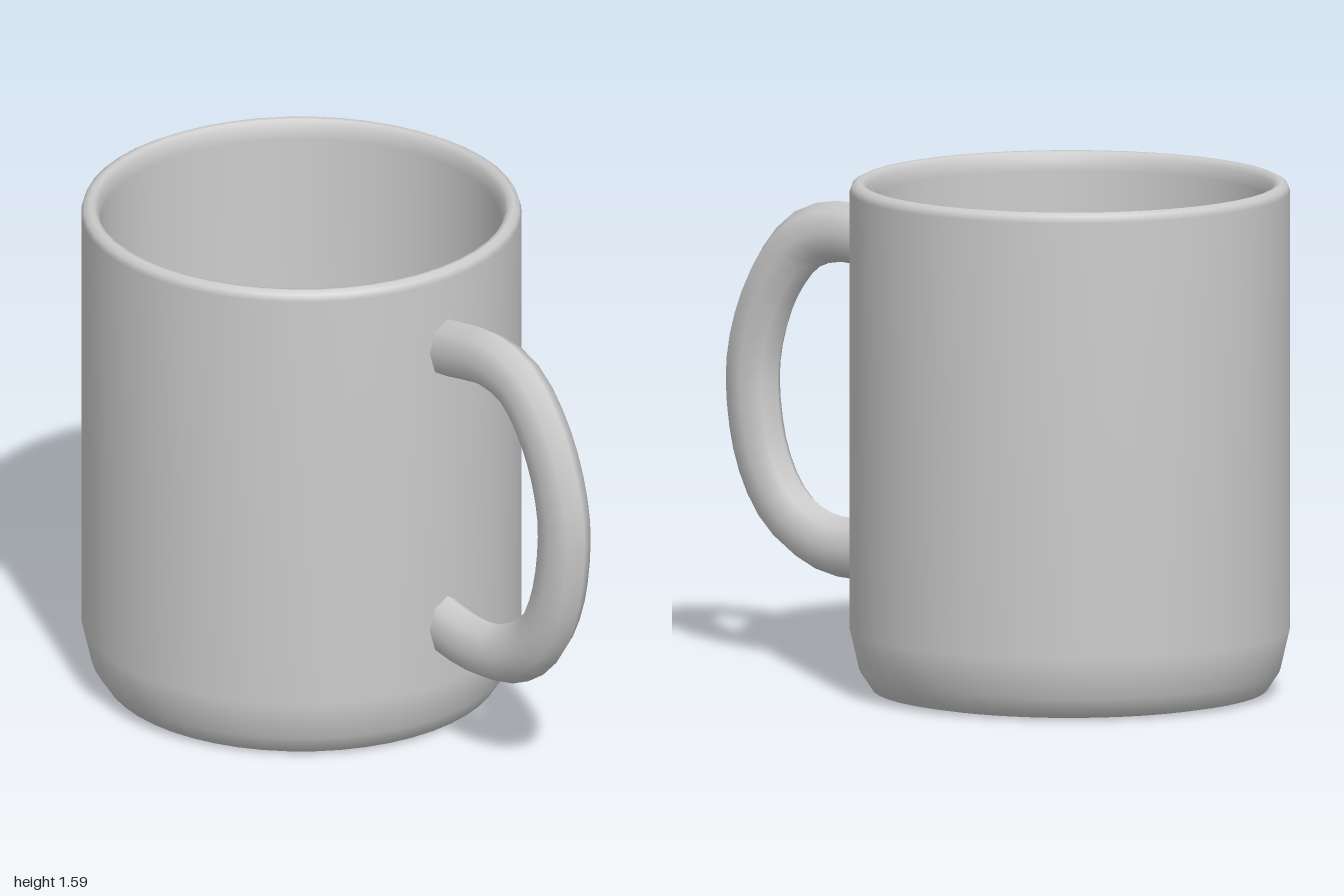
import * as THREE from 'three';

const v2 = (pts) => pts.map(([x, y]) => new THREE.Vector2(x, y));

export function createModel() {
  const group = new THREE.Group();
  group.name = 'mug';

  const ceramic = new THREE.MeshStandardMaterial({ color: 0xcccccc });
  ceramic.name = 'grey ceramic';

  // Cup: one turned profile, from the underside up the outside, over the rim and down to the floor
  const profile = v2([
    [0, 0], [0.56, 0], [0.61, 0.01], [0.65, 0.07], [0.68, 0.2],
    [0.68, 1.56], [0.673, 1.58], [0.655, 1.59], [0.64, 1.588], [0.627, 1.57], [0.62, 1.53],
    [0.62, 0.24], [0.6, 0.14], [0.55, 0.09], [0, 0.08],
  ]);
  const cup = new THREE.Mesh(new THREE.LatheGeometry(profile, 48), ceramic);
  cup.name = 'cup';
  cup.position.x = -0.32;
  group.add(cup);

  // Handle: eight-sided tube, flattened front to back, with its ends buried in the wall
  const path = new THREE.CatmullRomCurve3([
    [0.31, 1.32], [0.42, 1.34], [0.57, 1.355], [0.7, 1.315], [0.82, 1.17], [0.89, 0.98],
    [0.9, 0.83], [0.86, 0.62], [0.77, 0.47], [0.63, 0.385], [0.49, 0.37], [0.38, 0.386], [0.31, 0.405],
  ].map(([x, y]) => new THREE.Vector3(x, y, 0)));
  const tube = new THREE.TubeGeometry(path, 28, 0.095, 8, false);
  tube.scale(1, 1, 0.07 / 0.095);
  const handle = new THREE.Mesh(tube, ceramic);
  handle.name = 'handle';
  group.add(handle);

  return group;
}
